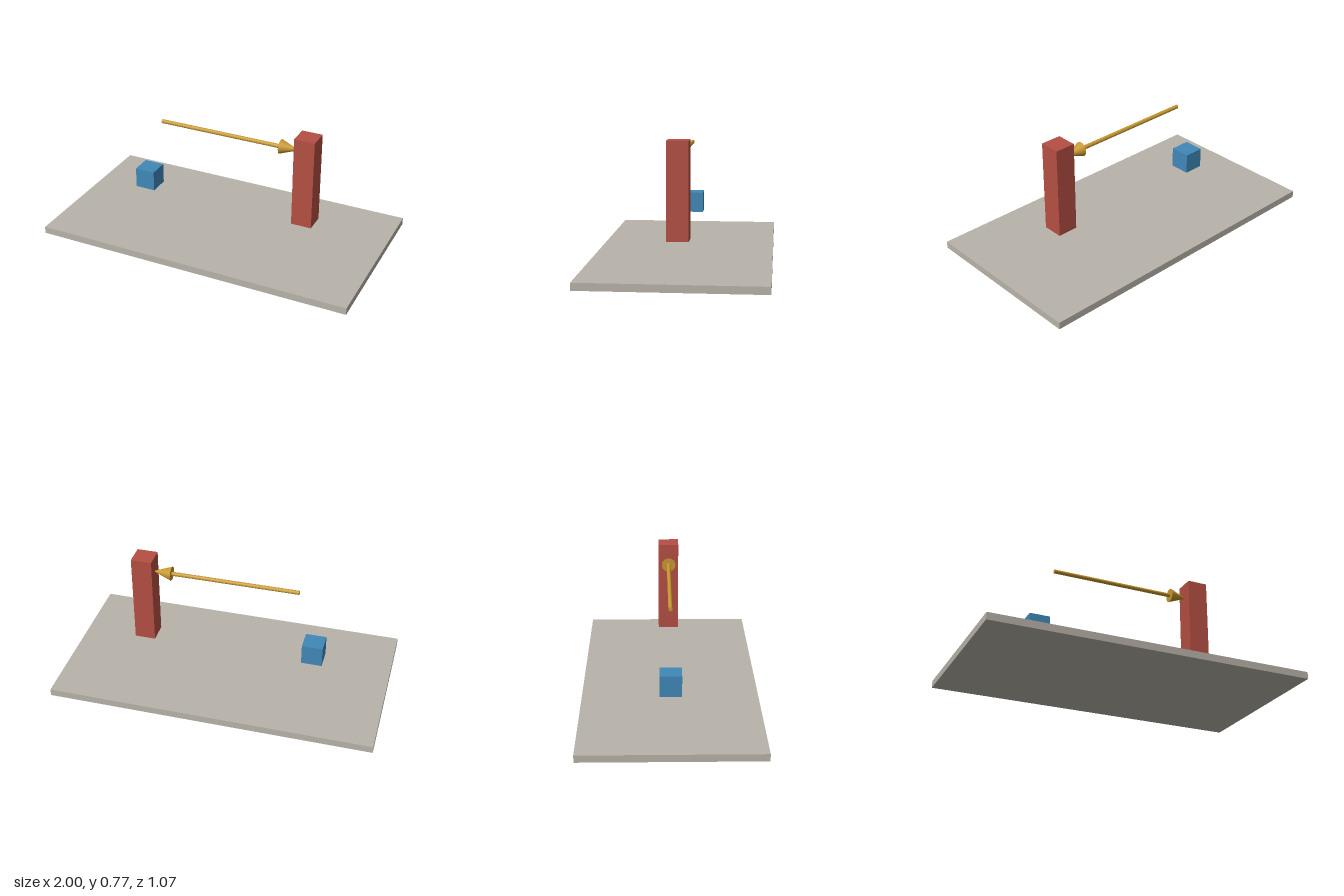
import * as THREE from 'three';

const mat = (name, color) => {
  const m = new THREE.MeshStandardMaterial({ color });
  m.name = name;
  return m;
};

export function createModel() {
  const model = new THREE.Group();
  const stone = mat('warm grey', 0xb8b3a9);
  const blue = mat('blue', 0x4088b8);
  const red = mat('red', 0xb44f43);
  const gold = mat('gold', 0xc8992f);

  const add = (name, geometry, material, x, y, parent = model) => {
    const mesh = new THREE.Mesh(geometry, material);
    mesh.name = name;
    mesh.position.set(x, y, 0);
    parent.add(mesh);
    return mesh;
  };

  // Base plate
  add('basePlate', new THREE.BoxGeometry(2, 0.044, 1.067), stone, 0, 0.022);

  // Short and tall blocks, floating at the same height above the plate
  const side = 0.128, bottom = 0.196;
  const block = (name, height, material, x) =>
    add(name, new THREE.BoxGeometry(side, height, side), material, x, bottom + height / 2);
  block('shortBlock', 0.128, blue, -0.535);
  block('tallBlock', 0.57, red, 0.534);

  // Arrow pointing from the short block to the tall one
  const arrow = new THREE.Group();
  arrow.name = 'arrow';
  arrow.position.y = 0.667;
  model.add(arrow);
  const start = -0.43, neck = 0.362, tip = 0.48;
  const alongX = (geometry) => geometry.rotateZ(-Math.PI / 2);
  add('arrowShaft', alongX(new THREE.CylinderGeometry(0.0125, 0.0125, neck - start, 16)),
    gold, (start + neck) / 2, 0, arrow);
  add('arrowHead', alongX(new THREE.ConeGeometry(0.044, tip - neck, 20)),
    gold, (neck + tip) / 2, 0, arrow);

  return model;
}
